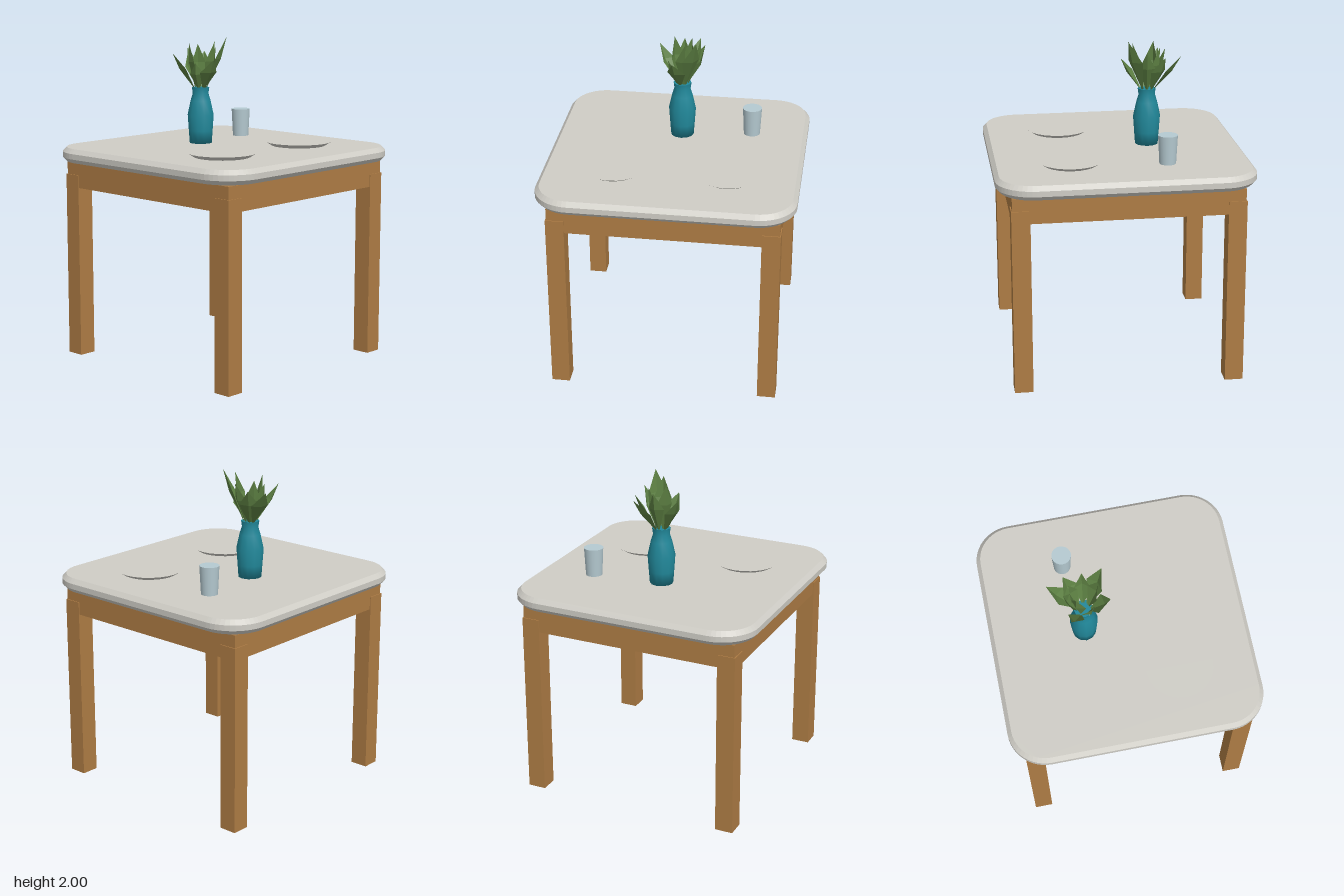
import * as THREE from 'three';

const mat = (name, color, opts = {}) => {
  const m = new THREE.MeshStandardMaterial({ color, ...opts });
  m.name = name;
  return m;
};

export function createModel() {
  const root = new THREE.Group();
  root.name = 'diningTable';
  const wood = mat('wood', 0xae7c44);
  const stone = mat('paleStone', 0xcfcdc6);
  const teal = mat('tealGlaze', 0x21889a);
  const glass = mat('paleBlueGlass', 0xb5cad1);
  const green = mat('leafGreen', 0x5c7f42, { side: THREE.DoubleSide, flatShading: true });

  const add = (name, geo, material, x = 0, y = 0, z = 0) => {
    const mesh = new THREE.Mesh(geo, material);
    mesh.name = name;
    mesh.position.set(x, y, z);
    root.add(mesh);
    return mesh;
  };
  const lathe = (profile, sides) =>
    new THREE.LatheGeometry(profile.map(([r, y]) => new THREE.Vector2(r, y)), sides);

  // Table top: rounded square with a single chamfer above and below
  const h = 0.757, r = 0.205;
  const outline = new THREE.Shape();
  outline.absarc(h - r, h - r, r, 0, Math.PI / 2);
  outline.absarc(r - h, h - r, r, Math.PI / 2, Math.PI);
  outline.absarc(r - h, r - h, r, Math.PI, Math.PI * 1.5);
  outline.absarc(h - r, r - h, r, Math.PI * 1.5, Math.PI * 2);
  const topGeo = new THREE.ExtrudeGeometry(outline, {
    depth: 0.034, curveSegments: 6,
    bevelEnabled: true, bevelThickness: 0.027, bevelSize: 0.025, bevelSegments: 1,
  });
  topGeo.rotateX(-Math.PI / 2);
  add('tableTop', topGeo, stone, 0, 1.268, 0);

  // Solid apron block and four legs standing slightly proud of it
  add('apron', new THREE.BoxGeometry(1.39, 0.157, 1.39), wood, 0, 1.1535, 0);
  for (const x of [-1, 1]) for (const z of [-1, 1]) {
    add('leg', new THREE.BoxGeometry(0.112, 1.155, 0.112), wood, x * 0.645, 0.5775, z * 0.645);
  }

  // Two plates with sloping undersides
  for (const x of [-0.347, 0.347]) {
    add('plate', new THREE.CylinderGeometry(0.207, 0.17, 0.024, 24), stone, x, 1.341, 0.312);
  }

  // Tumbler
  add('tumbler', new THREE.CylinderGeometry(0.06, 0.051, 0.176, 20), glass, 0.435, 1.417, -0.265);

  // Vase, closed just below its rim
  const vz = -0.207;
  add('vase', lathe([
    [0, 0], [0.072, 0], [0.078, 0.08], [0.085, 0.18], [0.065, 0.27],
    [0.051, 0.315], [0.057, 0.355],
  ], 12), teal, 0, 1.329, vz);
  const mouth = new THREE.CircleGeometry(0.056, 12);
  mouth.rotateX(-Math.PI / 2);
  add('vaseMouth', mouth, teal, 0, 1.682, vz);

  // Folded, diamond-shaped leaves, each given by its tip and half width
  const leaf = (tip, halfWidth) => {
    const end = new THREE.Vector3(...tip);
    const out = new THREE.Vector3(end.x, 0, end.z - vz).normalize();
    const side = new THREE.Vector3(-out.z, 0, out.x);
    const base = new THREE.Vector3(0, 1.66, vz).addScaledVector(out, 0.03);
    const mid = base.clone().lerp(end, 0.6).addScaledVector(out, -0.012);
    const ridge = mid.clone().addScaledVector(out, 0.03);
    const a = mid.clone().addScaledVector(side, halfWidth);
    const b = mid.clone().addScaledVector(side, -halfWidth);
    const geo = new THREE.BufferGeometry().setFromPoints(
      [base, ridge, a, base, b, ridge, a, ridge, end, ridge, b, end]);
    geo.computeVertexNormals();
    return geo;
  };
  [
    [[0.1, 2.0, -0.075], 0.06], [[-0.155, 1.9, -0.3], 0.05],
    [[0.09, 1.9, -0.405], 0.055], [[-0.045, 1.865, -0.05], 0.06],
    [[0.13, 1.9, -0.3], 0.06], [[-0.055, 1.965, -0.255], 0.05],
    [[0.03, 1.975, -0.11], 0.055], [[0.0, 1.93, -0.32], 0.05],
    [[0.12, 1.93, -0.19], 0.05], [[-0.085, 1.84, -0.17], 0.05],
    [[0.05, 1.95, -0.28], 0.045],
  ].forEach(([tip, w]) => add('leaf', leaf(tip, w), green));

  return root;
}
